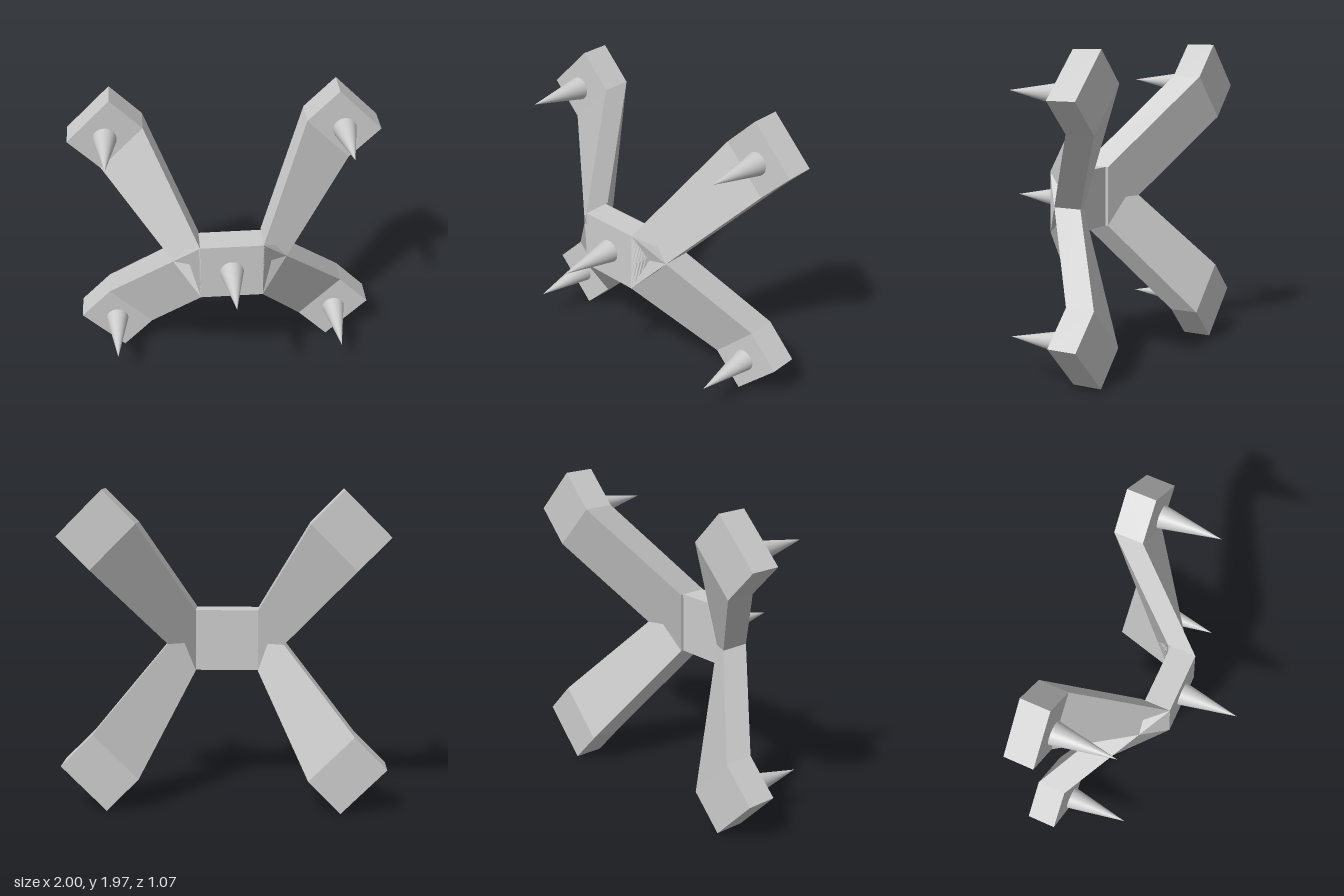
import * as THREE from 'three';

const MID_Y = 0.993; // height of the mirror plane
const material = new THREE.MeshStandardMaterial({ color: 0xcccccc });

// Four-sided cross-section: top front, top back, bottom back, bottom front.
// Heights are measured from the mirror plane.
function section([tx, ty], [bx, by], front, back) {
  return [[tx, ty, front], [tx, ty, back], [bx, by, back], [bx, by, front]];
}

const SECTIONS = [
  section([0.2, 0.195], [0.2, -0.195], 0.15, -0.04), // root on the side of the hub
  section([0.52, 0.785], [0.8, 0.505], -0.35, -0.54), // bend
  section([0.72, 0.987], [1.0, 0.707], -0.35, -0.54), // outer end
];

// Skin the sections with flat-shaded quads, mirrored by the signs sx and sy.
function armGeometry(sx, sy) {
  const positions = [], normals = [], index = [];

  const addQuad = (corners) => {
    const p = corners.map(([x, y, z]) => new THREE.Vector3(x * sx, y * sy, z));
    if (sx * sy < 0) [p[1], p[3]] = [p[3], p[1]];
    const n = p[2].clone().sub(p[0]).cross(p[3].clone().sub(p[1])).normalize();
    const start = positions.length / 3;
    for (const v of p) {
      positions.push(v.x, v.y, v.z);
      normals.push(n.x, n.y, n.z);
    }
    index.push(start, start + 1, start + 2, start, start + 2, start + 3);
  };

  for (let s = 0; s < SECTIONS.length - 1; s++) {
    for (let i = 0; i < 4; i++) {
      const j = (i + 1) % 4;
      const a = SECTIONS[s][i], b = SECTIONS[s][j];
      const c = SECTIONS[s + 1][j], d = SECTIONS[s + 1][i];
      // the back is split along the same diagonal as the front
      addQuad(i === 1 ? [d, c, b, a] : [a, d, c, b]);
    }
  }
  addQuad(SECTIONS[0]);
  addQuad([...SECTIONS[2]].reverse());

  const geometry = new THREE.BufferGeometry();
  geometry.setAttribute('position', new THREE.Float32BufferAttribute(positions, 3));
  geometry.setAttribute('normal', new THREE.Float32BufferAttribute(normals, 3));
  geometry.setIndex(index);
  return geometry;
}

function addMesh(parent, name, geometry, x, y, z) {
  const mesh = new THREE.Mesh(geometry, material);
  mesh.name = name;
  mesh.position.set(x, y, z);
  parent.add(mesh);
  return mesh;
}

// Cone pointing forward, with the centre of its base at the origin.
function spikeGeometry(radius, length) {
  return new THREE.ConeGeometry(radius, length, 32)
    .translate(0, length / 2, 0)
    .rotateX(Math.PI / 2);
}

export function createModel() {
  const model = new THREE.Group();
  model.name = 'spikedCross';

  // central hub and its spike
  addMesh(model, 'hub', new THREE.BoxGeometry(0.4, 0.39, 0.17), 0, MID_Y, 0.065);
  addMesh(model, 'hubSpike', spikeGeometry(0.076, 0.38), 0, MID_Y, 0.15);

  // four swept-back arms, each with a spike leaning slightly away from the middle
  for (const sy of [1, -1]) {
    for (const sx of [1, -1]) {
      const place = (sy > 0 ? 'upper' : 'lower') + (sx > 0 ? 'Left' : 'Right');
      addMesh(model, place + 'Arm', armGeometry(sx, sy), 0, MID_Y, 0);
      const spike = addMesh(model, place + 'Spike', spikeGeometry(0.075, 0.4),
        sx * 0.76, MID_Y + sy * 0.728, -0.333);
      spike.rotation.x = -sy * 0.037;
    }
  }
  return model;
}
